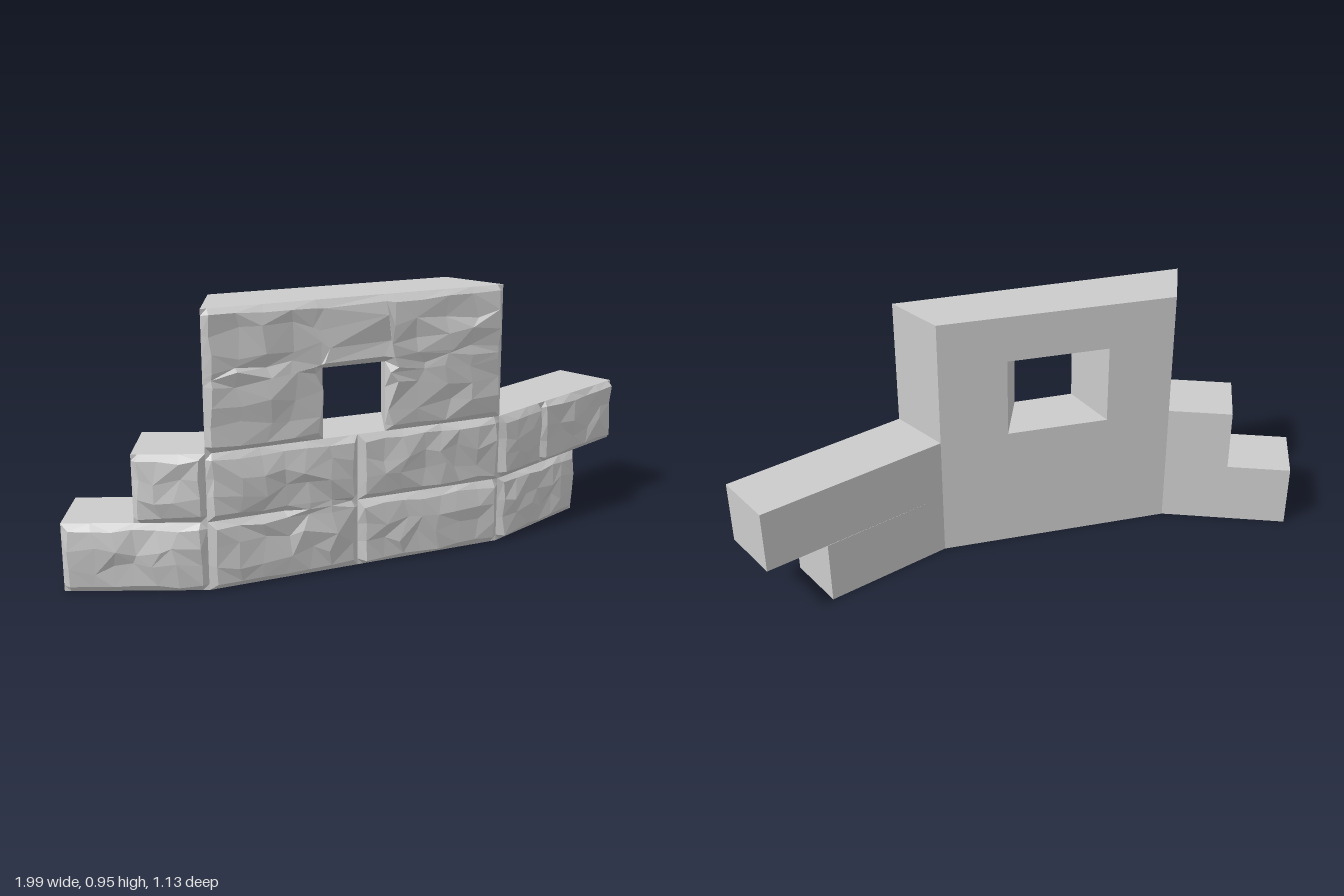
import * as THREE from 'three';

const material = new THREE.MeshStandardMaterial({ color: 0xcccccc, flatShading: true, side: THREE.DoubleSide });

// Plan corners [x, z] of the front face and the back face
const BEND_L = [-0.52, 0.535], BEND_R = [0.485, 0.11];
const BACK_L = [-0.52, 0.285], BACK_R = [0.30, -0.045];
const Y1 = 0.24, Y2 = 0.475, Y3 = 0.95;
const WIN = { left: -0.14, right: 0.07, top: 0.72 };

let seed = 11;
function rand() {
  seed = (seed * 16807) % 2147483647;
  return seed / 2147483647;
}

const zOn = (p, q, x) => p[1] + (q[1] - p[1]) * (x - p[0]) / (q[0] - p[0]);

function addMesh(parent, name, geometry) {
  const mesh = new THREE.Mesh(geometry, material);
  mesh.name = name;
  parent.add(mesh);
}

// Plain wall body of one course: a bent plan outline raised from y0 to y1
function course(outline, y0, y1) {
  const shape = new THREE.Shape(outline.map(([x, z]) => new THREE.Vector2(x, -z)));
  return new THREE.ExtrudeGeometry(shape, { depth: y1 - y0, bevelEnabled: false })
    .rotateX(-Math.PI / 2).translate(0, y0, 0);
}

// Upper wall: arch-shaped outline whose opening widens towards the back
function upperWall() {
  const { left, right, top } = WIN, a = BEND_L[0], b = BEND_R[0];
  const shape = new THREE.Shape([
    [a, Y2], [left, Y2], [left, top], [right, top], [right, Y2], [b, Y2], [b, Y3], [a, Y3],
  ].map(([x, y]) => new THREE.Vector2(x, y)));
  const geo = new THREE.ExtrudeGeometry(shape, { depth: 1, bevelEnabled: false });
  const backX = [[a, BACK_L[0]], [left, -0.29], [right, 0.065], [b, BACK_R[0]]];
  const pos = geo.attributes.position;
  for (let i = 0; i < pos.count; i++) {
    let x = pos.getX(i), y = pos.getY(i);
    const front = pos.getZ(i) > 0.5;
    if (!front) {
      x = backX.find(([f]) => Math.abs(f - x) < 0.001)[1];
      if (Math.abs(y - top) < 0.001) y = 0.775;
    }
    pos.setXYZ(i, x, y, front ? zOn(BEND_L, BEND_R, x) : zOn(BACK_L, BACK_R, x));
  }
  geo.computeVertexNormals();
  return geo;
}

// Grid lines from a to b with a narrow bevel strip at each end
function gridLines(a, b, bevel, step) {
  const n = Math.max(2, Math.round((b - a) / step));
  const lines = [a];
  for (let i = 0; i <= n; i++) lines.push(a + bevel + (b - a - 2 * bevel) * i / n);
  return [...lines, b];
}

// Rough hewn stone face between plan points p and q, optionally with a window
function stoneFace(p, q, y0, y1, hole) {
  const dx = q[0] - p[0], dz = q[1] - p[1], len = Math.hypot(dx, dz), bevel = 0.022;
  const toU = x => (x - p[0]) / dx * len;
  const h0 = hole ? toU(hole.left) : 0, h1 = hole ? toU(hole.right) : 0;
  const us = hole
    ? [...gridLines(0, h0, bevel, 0.11), ...gridLines(h1, len, bevel, 0.11)]
    : gridLines(0, len, bevel, 0.085);
  const ys = hole
    ? [...gridLines(y0, hole.top, bevel, 0.09), ...gridLines(hole.top, y1, bevel, 0.09).slice(1)]
    : gridLines(y0, y1, bevel, 0.085);
  const verts = [], index = [], nu = us.length, e = 1e-6;
  const inHole = (u, y) => hole && u > h0 - e && u < h1 + e && y < hole.top + e;
  ys.forEach((y, j) => us.forEach((u, i) => {
    const border = i === 0 || j === 0 || i === nu - 1 || j === ys.length - 1;
    const ring = i === 1 || j === 1 || i === nu - 2 || j === ys.length - 2;
    let d = 0, su = u, sy = y;
    if (!border && !inHole(u, y)) {
      const k = ring ? 0.012 : 0.045;
      d = ring ? 0.014 + 0.011 * rand() : 0.015 + 0.02 * rand();
      su += (rand() - 0.5) * k;
      sy += (rand() - 0.5) * k;
    } else if (border) {
      // two stones grow together along part of the joint
      const x = p[0] + dx * u / len;
      if (y === Y1 && x > -0.25 && x < -0.06) d = 0.022;
    }
    verts.push(p[0] + (dx * su - dz * d) / len, sy, p[1] + (dz * su + dx * d) / len);
  }));
  for (let j = 0; j < ys.length - 1; j++) {
    for (let i = 0; i < nu - 1; i++) {
      if (inHole((us[i] + us[i + 1]) / 2, (ys[j] + ys[j + 1]) / 2)) continue;
      const a = j * nu + i, b = a + 1, c = b + nu, d = a + nu;
      if (rand() < 0.5) index.push(a, b, c, a, c, d);
      else index.push(a, b, d, b, c, d);
    }
  }
  const geo = new THREE.BufferGeometry();
  geo.setAttribute('position', new THREE.Float32BufferAttribute(verts, 3));
  geo.setIndex(index);
  geo.computeVertexNormals();
  return geo;
}

export function createModel() {
  seed = 11;
  const wall = new THREE.Group();
  wall.name = 'ruinedWall';

  // Wall bodies
  const rows = [
    { name: 'lower', y0: 0, y1: Y1, left: -1, end: [0.82, -0.225], back: [0.65, -0.395], splits: [] },
    { name: 'middle', y0: Y1, y1: Y2, left: -0.76, end: [0.99, -0.395], back: [0.82, -0.562], splits: [0.665] },
  ];
  const stones = new THREE.Group();
  stones.name = 'stoneFaces';
  for (const { name, y0, y1, left, end, back, splits } of rows) {
    const start = [left, BEND_L[1]];
    addMesh(wall, name + 'Course',
      course([start, BEND_L, BEND_R, end, back, BACK_R, BACK_L, [left, BACK_L[1]]], y0, y1));

    // Stones along the course, split at the bends and joints
    const points = [start, BEND_L, [-0.025, zOn(BEND_L, BEND_R, -0.025)], BEND_R,
      ...splits.map(x => [x, zOn(BEND_R, end, x)]), end];
    for (let i = 0; i < points.length - 1; i++) {
      addMesh(stones, name + 'Stone' + (i + 1), stoneFace(points[i], points[i + 1], y0, y1));
    }
  }

  // Upper wall with its window
  addMesh(wall, 'upperWall', upperWall());
  addMesh(stones, 'windowStone', stoneFace(BEND_L, BEND_R, Y2, Y3, WIN));
  wall.add(stones);
  return wall;
}
